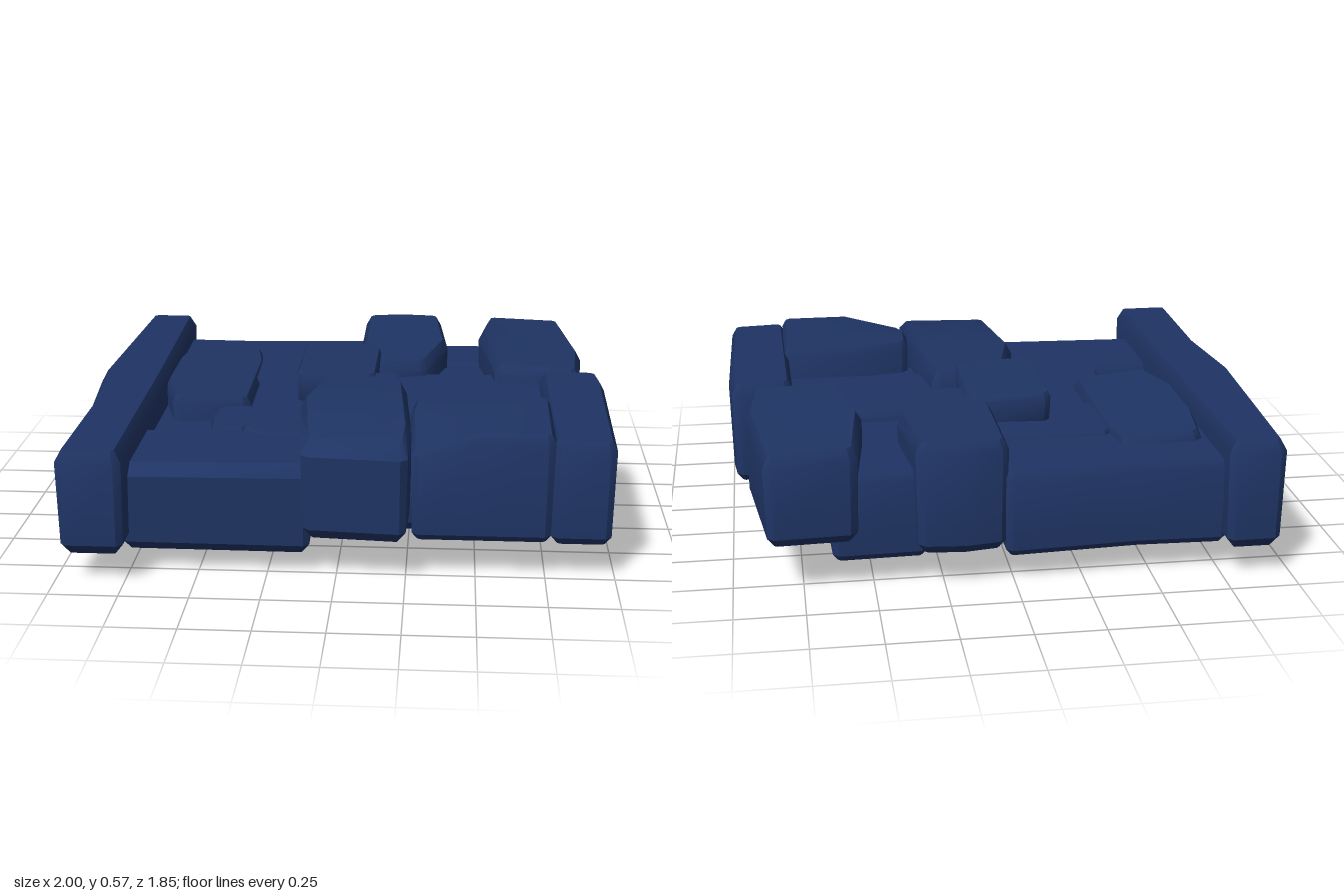
import * as THREE from 'three';
import { toCreasedNormals } from 'three/addons/utils/BufferGeometryUtils.js';

const slate = new THREE.MeshStandardMaterial({ color: 0x1f3464 });
slate.name = 'blue slate';

// Cuts the sharp corners of an outline of [x, z, extra height].
function chamfer(pts, cut) {
  const n = pts.length;
  return pts.flatMap((p, i) => {
    const a = pts[(i + n - 1) % n], b = pts[(i + 1) % n];
    const la = Math.hypot(a[0] - p[0], a[1] - p[1]), lb = Math.hypot(b[0] - p[0], b[1] - p[1]);
    const cos = ((p[0] - a[0]) * (b[0] - p[0]) + (p[1] - a[1]) * (b[1] - p[1])) / (la * lb);
    if (cos > 0.6) return [p];
    const toward = (q, l) => [p[0] + (q[0] - p[0]) * cut / l, p[1] + (q[1] - p[1]) * cut / l, p[2]];
    return [toward(a, la), toward(b, lb)];
  });
}

// Shrinks an outline (counter-clockwise from above) by distance d.
function inset(pts, d) {
  const n = pts.length;
  const normal = (a, b) => {
    const dx = b[0] - a[0], dz = b[1] - a[1], l = Math.hypot(dx, dz);
    return [dz / l, -dx / l];
  };
  return pts.map((p, i) => {
    const a = normal(pts[(i + n - 1) % n], p), b = normal(p, pts[(i + 1) % n]);
    const k = d / (1 + a[0] * b[0] + a[1] * b[1]);
    return [p[0] + (a[0] + b[0]) * k, p[1] + (a[1] + b[1]) * k, p[2]];
  });
}

// Worn stone: bottom y0, top y1, top slopes sx and sz, front = extra slant of the front top edge.
function stone(name, outline, y0, y1, { sx = 0, sz = 0, bevel = 0.03, front = 0 } = {}) {
  let area = 0;
  outline.forEach((p, i) => {
    const q = outline[(i + 1) % outline.length];
    area += p[0] * q[1] - q[0] * p[1];
  });
  const pts = chamfer(area > 0 ? [...outline].reverse() : outline, 0.025);
  const n = pts.length;
  const cx = pts.reduce((s, p) => s + p[0], 0) / n;
  const cz = pts.reduce((s, p) => s + p[1], 0) / n;
  const maxZ = Math.max(...pts.map((p) => p[1]));
  const top = (p) => y1 + sx * (p[0] - cx) + sz * (p[1] - cz) + (p[2] || 0);
  const ring = (d, y, slant = 0) => inset(pts, d).map((p, i) =>
    [p[0], y(p), p[1] - (pts[i][1] > maxZ - 0.08 ? slant : 0)]);
  const rings = [
    ring(bevel * 0.8, () => y0 + 0.006),
    ring(0.006, () => y0 + bevel),
    ring(0, (p) => top(p) - bevel),
    ring(bevel * 0.55, top, front),
  ];
  const pos = [];
  const tri = (...v) => v.forEach((p) => pos.push(...p));
  const lowMid = [cx, y0, cz], highMid = [cx, top([cx, cz]), cz];
  for (let i = 0; i < n; i++) {
    const j = (i + 1) % n;
    for (let r = 0; r < 3; r++) {
      const a = rings[r], b = rings[r + 1];
      tri(a[i], a[j], b[j]);
      tri(a[i], b[j], b[i]);
    }
    tri(rings[0][j], rings[0][i], lowMid);
    tri(rings[3][i], rings[3][j], highMid);
  }
  const g = new THREE.BufferGeometry();
  g.setAttribute('position', new THREE.Float32BufferAttribute(pos, 3));
  const mesh = new THREE.Mesh(toCreasedNormals(g, 0.6), slate);
  mesh.name = name;
  return mesh;
}

// Four-cornered outline with slightly skewed sides.
const block = (x0, x1, z0, z1, k = 0.01) =>
  [[x0, z0 + k], [x1 - k, z0], [x1, z1 - k], [x0 + k, z1]];

export function createModel() {
  const model = new THREE.Group();
  model.name = 'stonePaving';
  model.add(
    // Long kerb along one side
    stone('longKerb', [[-0.955, -0.925], [-0.75, -0.925], [-0.74, 0], [-0.74, 0.92],
      [-0.975, 0.92], [-0.965, 0.35], [-1, -0.05]], 0.105, 0.51, { sz: -0.012, bevel: 0.045 }),

    // Large outer slabs
    stone('frontLeftSlab', [[-0.78, 0.36], [-0.1, 0.33], [-0.09, 0.79], [-0.78, 0.785]],
      0.075, 0.41, { sx: 0.012, bevel: 0.04, front: 0.03 }),
    stone('backLeftSlab', [[-0.78, -0.845], [-0.45, -0.835], [0.04, -0.865], [0.04, -0.48], [-0.78, -0.48]],
      0.1, 0.43, { bevel: 0.03 }),
    stone('backCentreSlab', [[0.025, -0.86], [0.18, -0.885], [0.35, -0.87], [0.385, -0.5],
      [0.3, -0.2], [0.02, -0.15]], 0.13, 0.54, { sz: -0.04, bevel: 0.04 }),
    stone('backRightSlab', [[0.555, -0.87], [0.875, -0.885], [0.935, -0.38], [0.91, -0.09],
      [0.58, -0.11], [0.515, -0.53, 0.02]], 0.19, 0.54, { sx: -0.05, bevel: 0.04 }),
    stone('rightEdgeSlab', [[0.75, -0.07], [0.98, -0.085], [0.995, 0.05], [0.985, 0.78], [0.76, 0.78]],
      0.13, 0.53, { sx: -0.03, sz: -0.01, bevel: 0.035 }),
    stone('frontRightSlab', [[0.265, 0.35], [0.5, 0.305], [0.775, 0.32], [0.77, 0.79],
      [0.5, 0.79], [0.265, 0.79, -0.055], [0.255, 0.52]], 0.14, 0.548, { bevel: 0.03 }),
    stone('frontCentreSlab', [[-0.09, 0], [0.2, -0.035], [0.23, 0.12], [0.265, 0.64], [0.255, 0.86, -0.02],
      [-0.12, 0.83, -0.02], [-0.165, 0.33]], 0.15, 0.535, { bevel: 0.045, front: 0.05 }),

    // Inner paving stones
    stone('leftInnerStone', [[-0.72, -0.64], [-0.42, -0.65], [-0.385, -0.45], [-0.385, 0.1],
      [-0.68, 0.14], [-0.75, -0.1], [-0.75, -0.4]], 0.11, 0.46, { sx: -0.06 }),
    stone('upperInnerStone', block(-0.41, 0.05, -0.545, -0.2), 0.1, 0.445, { bevel: 0.02 }),
    stone('middleInnerStone', [[-0.39, -0.24], [-0.08, -0.24], [-0.05, 0.48], [-0.3, 0.475], [-0.38, 0.4]],
      0.09, 0.435),
    stone('smallInnerStone', [[-0.5, 0.12], [-0.36, 0.1], [-0.355, 0.39], [-0.5, 0.385], [-0.515, 0.25]],
      0.15, 0.425, { bevel: 0.02 }),
    stone('raisedCentreStone', [[-0.205, -0.395], [0.06, -0.38], [0.115, -0.34], [0.11, 0.065], [-0.205, 0.075]],
      0.4, 0.55, { sx: -0.03, bevel: 0.02 }),
    stone('rightInnerStone', [[0.05, -0.2], [0.3, -0.245], [0.6, -0.25], [0.84, -0.12], [0.84, 0.2], [0.1, 0.2]],
      0.13, 0.465),
    stone('rightFillStone', block(0.18, 0.82, 0.15, 0.42), 0.15, 0.42),
    stone('backGapStone', block(0.3, 0.66, -0.815, -0.495), 0.095, 0.43),
    stone('innerGapStone', block(0.3, 0.62, -0.5, -0.2), 0.12, 0.42),

    // Stones showing on the underside
    stone('footStone', [[-0.8, 0.02], [-0.5, -0.015], [-0.44, 0.08], [-0.45, 0.42], [-0.77, 0.445]],
      0, 0.16, { bevel: 0.02 }),
    stone('lowerRightStone', [[0.22, -0.45], [0.4, -0.6], [0.65, -0.625], [0.64, -0.25], [0.3, -0.17]],
      0.075, 0.3, { bevel: 0.03 }),
    stone('lowerCentreStone', block(-0.1, 0.36, 0.0, 0.62, 0.03), 0.1, 0.3, { bevel: 0.04 }),
    stone('lowerInnerStone', block(-0.42, 0.08, -0.5, 0.05, 0.04), 0.085, 0.3, { bevel: 0.04 }),
    stone('lowerLeftStone', block(-0.8, -0.38, -0.5, 0.5, 0.03), 0.1, 0.36, { bevel: 0.03 }),
  );
  return model;
}
